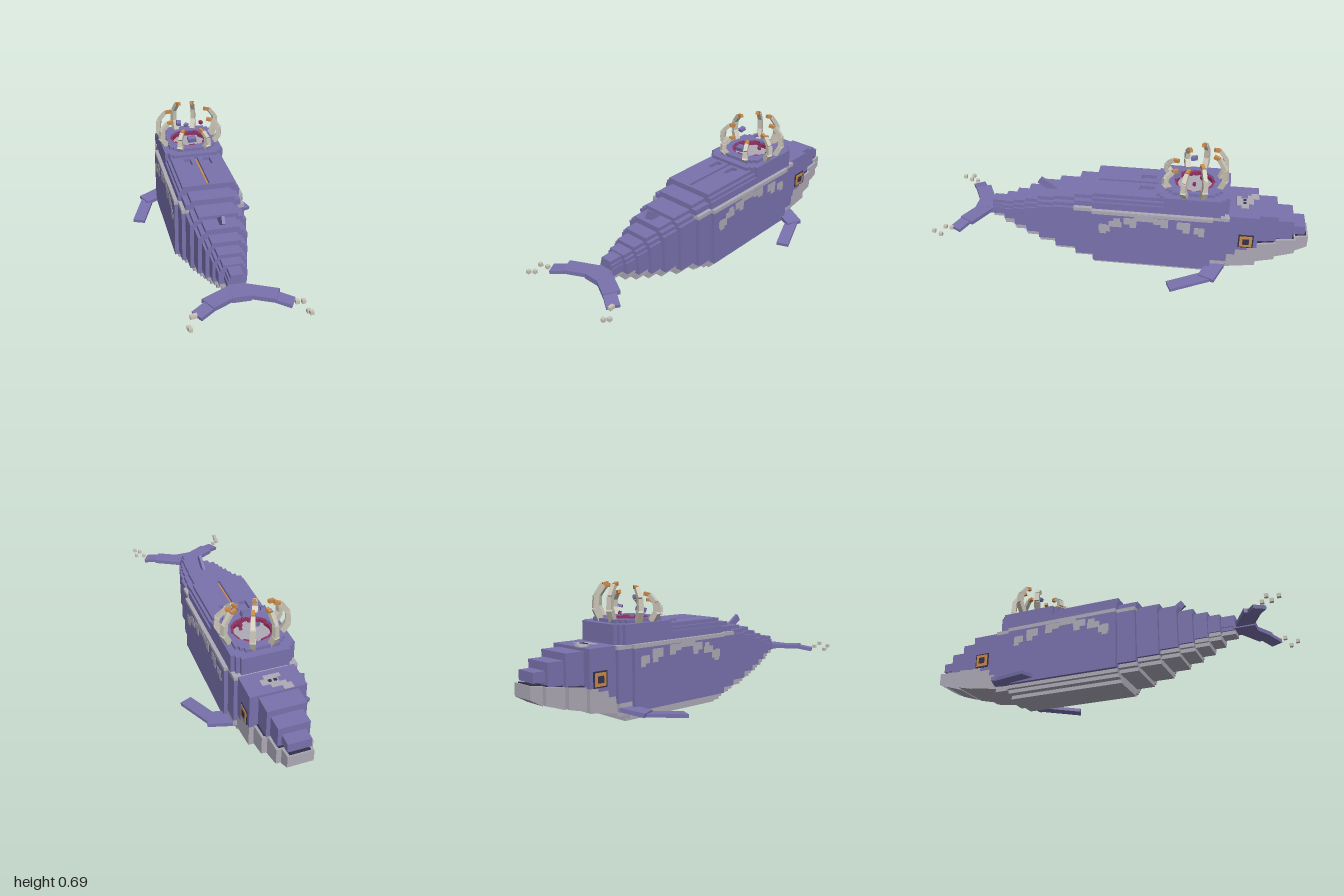
import * as THREE from 'three';

const mat = (name, color) => {
  const m = new THREE.MeshStandardMaterial({ color });
  m.name = name;
  return m;
};

export function createModel() {
  const model = new THREE.Group();
  model.name = 'whale';
  const purple = mat('purple hide', 0x7972ad);
  const grey = mat('pale belly', 0xadaab6);
  const bone = mat('bone', 0xc9c4b6);
  const orange = mat('orange', 0xc98a4b);
  const magenta = mat('magenta', 0x93325f);
  const dark = mat('dark hollow', 0x34324c);

  const add = (name, geo, m, parent = model) => {
    const mesh = new THREE.Mesh(geo, m);
    mesh.name = name;
    parent.add(mesh);
    return mesh;
  };
  // Box given by its limits on each axis
  const box = (name, x0, x1, y0, y1, z0, z1, m) => {
    const b = add(name, new THREE.BoxGeometry(x1 - x0, y1 - y0, z1 - z0), m);
    b.position.set((x0 + x1) / 2, (y0 + y1) / 2, (z0 + z1) / 2);
    return b;
  };
  // Square beam between two points
  const beam = (name, a, b, w, h, m, parent = model) => {
    const A = new THREE.Vector3(...a), B = new THREE.Vector3(...b);
    const mesh = add(name, new THREE.BoxGeometry(w, h, A.distanceTo(B)), m, parent);
    mesh.position.copy(A).lerp(B, 0.5);
    mesh.lookAt(B);
    return mesh;
  };
  const path = (pts) => new THREE.Shape(pts.map(([a, b]) => new THREE.Vector2(a, b)));
  // Side outline in (z, y), extruded across x
  const prism = (name, pts, w, m) => {
    const g = new THREE.ExtrudeGeometry(path(pts), { depth: 2 * w, bevelEnabled: false });
    return add(name, g.rotateY(-Math.PI / 2).translate(w, 0, 0), m);
  };
  // Plan outline in (x, -z), extruded upward
  const slab = (name, shape, y0, y1, m) => {
    const g = new THREE.ExtrudeGeometry(shape, { depth: y1 - y0, bevelEnabled: false, curveSegments: 6 });
    return add(name, g.rotateX(-Math.PI / 2).translate(0, y0, 0), m);
  };
  const rect = (x0, x1, z0, z1) => path([[x0, -z1], [x1, -z1], [x1, -z0], [x0, -z0]]);

  // Main trunk, layered: half width, bottom, top, colour
  [[0.108, 0, 0.02, grey], [0.145, 0.02, 0.04, grey], [0.165, 0.04, 0.06, grey],
    [0.185, 0.06, 0.37, purple], [0.185, 0.37, 0.39, grey], [0.165, 0.39, 0.43, purple],
    [0.155, 0.43, 0.45, purple]].forEach(([w, y0, y1, m]) =>
    box('trunkLayer', -w, w, y0, y1, -0.49, 0.145, m));

  // Back plate with two pits and a glowing slot
  const back = rect(-0.14, 0.14, -0.49, 0.145);
  back.holes.push(rect(-0.075, -0.035, -0.175, -0.095), rect(0.035, 0.075, -0.175, -0.095),
    rect(-0.008, 0.008, -0.2, 0.13));
  slab('backPlate', back, 0.45, 0.47, purple);
  box('backStripe', -0.008, 0.008, 0.45, 0.455, -0.2, 0.13, orange);

  // Tapering tail sections: back, front, half width, bottom, top
  [[0.145, 0.245, 0.165, 0.045, 0.44], [0.245, 0.36, 0.145, 0.07, 0.41],
    [0.36, 0.455, 0.125, 0.1, 0.39], [0.455, 0.53, 0.105, 0.122, 0.36],
    [0.53, 0.6, 0.085, 0.145, 0.335], [0.6, 0.66, 0.07, 0.172, 0.315],
    [0.66, 0.73, 0.045, 0.2, 0.305]].forEach(([z0, z1, w, y0, y1], i) => {
    const s = 0.02;
    box('tailBelly', -w * 0.75, w * 0.75, y0, y0 + s, z0, z1, grey);
    box('tailBellySide', -w * 0.9, w * 0.9, y0 + s, y0 + 2 * s, z0, z1, i < 6 ? grey : purple);
    box('tailSide', -w, w, y0 + 2 * s, i ? y1 - 2 * s : 0.37, z0, z1, purple);
    if (!i) box('tailStripe', -w, w, 0.37, 0.39, z0, z1, grey);
    box('tailShoulder', -w * 0.88, w * 0.88, i ? y1 - 2 * s : 0.39, y1 - s, z0, z1, purple);
    box('tailTop', -w * 0.7, w * 0.7, y1 - s, y1, z0, z1, purple);
  });
  beam('dorsalFin', [0, 0.37, 0.36], [0, 0.44, 0.46], 0.016, 0.04, purple);
  box('tailStub', -0.045, 0.045, 0.225, 0.255, 0.72, 0.83, purple);

  // Neck and head
  box('neckBelly', -0.145, 0.145, 0.04, 0.07, -0.57, -0.49, grey);
  box('neckCheek', -0.165, 0.165, 0.07, 0.11, -0.57, -0.49, grey);
  box('neck', -0.165, 0.165, 0.11, 0.37, -0.575, -0.49, purple);
  box('neckStripe', -0.165, 0.165, 0.37, 0.39, -0.575, -0.49, grey);
  prism('throat', [[-0.73, 0.085], [-0.57, 0.06], [-0.57, 0.145], [-0.62, 0.145], [-0.62, 0.18],
    [-0.68, 0.18], [-0.68, 0.2], [-0.73, 0.2]], 0.145, grey);
  prism('head', [[-0.57, 0.145], [-0.57, 0.39], [-0.73, 0.39], [-0.73, 0.2], [-0.68, 0.2],
    [-0.68, 0.18], [-0.62, 0.18], [-0.62, 0.145]].reverse(), 0.145, purple);
  [[-0.73, -0.83, 0.1, 0.215, 0.375], [-0.83, -0.915, 0.08, 0.225, 0.34],
    [-0.915, -0.98, 0.06, 0.25, 0.3]].forEach(([z1, z0, w, y0, y1]) =>
    box('snout', -w, w, y0, y1, z0, z1, purple));

  // Lower jaw sections with dark mouth floor
  [[-0.73, -0.83, 0.12, 0.09, 0.115, 0.205, 0.218], [-0.83, -0.935, 0.092, 0.11, 0.145, 0.218, 0.232],
    [-0.935, -1, 0.066, 0.14, 0.177, 0.232, 0.242]].forEach(([z1, z0, w, b1, b0, t1, t0]) => {
    prism('lowerJaw', [[z0, b0], [z1, b1], [z1, t1], [z0, t0]], w, grey);
    prism('mouthFloor', [[z0 + 0.01, t0 - 0.002], [z1, t1 - 0.002], [z1, t1 + 0.004],
      [z0 + 0.01, t0 + 0.004]], w - 0.014, dark);
  });

  // Collar around the crater, in two stepped rings
  const cz = -0.38;
  const ring = (w, l, c, r) => {
    const q = [[w, l - 2 * c], [w - c, l - 2 * c], [w - c, l - c], [w - 2 * c, l - c], [w - 2 * c, l]];
    const p = q.map(([x, z]) => [x, z - cz]);
    p.push(...q.map(([x, z]) => [-x, z - cz]).reverse());
    p.push(...q.map(([x, z]) => [-x, -z - cz]), ...q.map(([x, z]) => [x, -z - cz]).reverse());
    const s = path(p);
    const hole = new THREE.Path();
    hole.absarc(0, -cz, r, 0, Math.PI * 2, true);
    s.holes.push(hole);
    return s;
  };
  slab('collar', ring(0.165, 0.19, 0.02, 0.108), 0.39, 0.488, purple);
  slab('collarRim', ring(0.13, 0.15, 0.02, 0.108), 0.488, 0.505, purple);
  const floor = add('craterFloor', new THREE.CylinderGeometry(0.11, 0.11, 0.01, 20), grey);
  floor.position.set(0, 0.47, cz);
  for (let i = 0; i < 20; i++) {
    const a = (i / 20) * Math.PI * 2;
    const b = add('craterEdge', new THREE.BoxGeometry(0.022, 0.02, 0.034), magenta);
    b.position.set(Math.cos(a) * 0.102, 0.484 + (i % 3) * 0.005, cz + Math.sin(a) * 0.102);
    b.rotation.y = -a;
  }

  // Floating fragments above the crater
  [[0, 0.535, -0.29, 0.046, 0.024, purple], [-0.005, 0.563, -0.43, 0.024, 0.014, purple],
    [-0.06, 0.605, -0.37, 0.032, 0.018, purple], [0.08, 0.575, -0.42, 0.02, 0.018, magenta],
    [0.06, 0.52, -0.38, 0.016, 0.016, magenta]].forEach(([x, y, z, w, h, m], i) => {
    const b = add('fragment', new THREE.BoxGeometry(w, h, w * 0.8), m);
    b.position.set(x, y, z);
    b.rotation.set(0.2, i * 0.7, 0.1);
  });

  for (const s of [1, -1]) {
    // Curved claws ringing the crater: base x, base z, tip height
    [[0.07, -0.245, 0.592], [0.148, -0.335, 0.63], [0.148, -0.43, 0.668], [0.052, -0.52, 0.685]]
      .forEach(([x, z, top]) => {
        const claw = new THREE.Group();
        claw.name = 'claw';
        model.add(claw);
        const h = top - 0.49;
        const at = (k, t) => [s * x * k, 0.49 + h * t, cz + (z - cz) * k];
        const pts = [at(0.94, 0), at(1.13, 0.32), at(1.1, 0.65), at(0.86, 0.92)];
        for (let i = 0; i < 3; i++) {
          beam('clawBone', pts[i], pts[i + 1], 0.03 - i * 0.004, 0.03 - i * 0.004, bone, claw);
        }
        beam('clawTip', pts[3], at(0.66, 0.96), 0.018, 0.018, orange, claw);
      });

    // Flippers
    beam('flipperInner', [s * 0.14, 0.08, -0.53], [s * 0.265, 0.062, -0.475], 0.09, 0.022, purple);
    beam('flipperOuter', [s * 0.235, 0.06, -0.5], [s * 0.325, 0.036, -0.28], 0.068, 0.018, purple);

    // Tail flukes and trailing bits
    beam('flukeInner', [s * 0.01, 0.242, 0.765], [s * 0.165, 0.245, 0.845], 0.085, 0.022, purple);
    beam('flukeOuter', [s * 0.14, 0.244, 0.84], [s * 0.225, 0.228, 0.89], 0.065, 0.018, purple);
    [[0.235, 0.245, 0.905], [0.255, 0.263, 0.93], [0.273, 0.225, 0.955], [0.273, 0.243, 0.99]]
      .forEach(([x, y, z]) => {
        add('tailBit', new THREE.BoxGeometry(0.018, 0.018, 0.018), bone).position.set(s * x, y, z);
      });

    // Eyes: dark surround, orange frame, dark pupil
    [[0.08, dark], [0.066, orange], [0.034, dark]].forEach(([d, m], i) => {
      add('eye', new THREE.BoxGeometry(0.006, d, d), m).position.set(s * (0.146 + i * 0.003), 0.24, -0.67);
    });

    // Pale flank blotches: centre z, centre y, length, height
    [[0.078, 0.285, 0.06, 0.04], [0.085, 0.28, 0.035, 0.06], [0.02, 0.315, 0.07, 0.035],
      [0.01, 0.325, 0.035, 0.055], [-0.06, 0.34, 0.07, 0.04], [-0.075, 0.32, 0.035, 0.04],
      [-0.13, 0.365, 0.1, 0.04], [-0.14, 0.385, 0.05, 0.04], [-0.22, 0.35, 0.08, 0.035],
      [-0.24, 0.335, 0.04, 0.04], [-0.34, 0.335, 0.07, 0.045], [-0.355, 0.315, 0.035, 0.05],
      [-0.42, 0.31, 0.05, 0.04], [-0.435, 0.3, 0.03, 0.05]].forEach(([z, y, l, h]) => {
      const top = Math.min(y + h / 2, 0.388);
      box('flankBlotch', s * 0.185 - 0.002, s * 0.185 + 0.002, y - h / 2, top, z - l / 2, z + l / 2, grey);
    });
    box('blowhole', s * 0.014 - 0.008, s * 0.014 + 0.008, 0.388, 0.396, -0.662, -0.646, dark);
  }

  // Pale crown blotch on the head
  [[-0.08, -0.03, -0.73, -0.69], [-0.06, 0.02, -0.7, -0.67], [-0.03, 0.06, -0.675, -0.635],
    [-0.05, 0.035, -0.635, -0.61]].forEach(([x0, x1, z0, z1]) =>
    box('crownBlotch', x0, x1, 0.388, 0.393, z0, z1, grey));

  return model;
}
